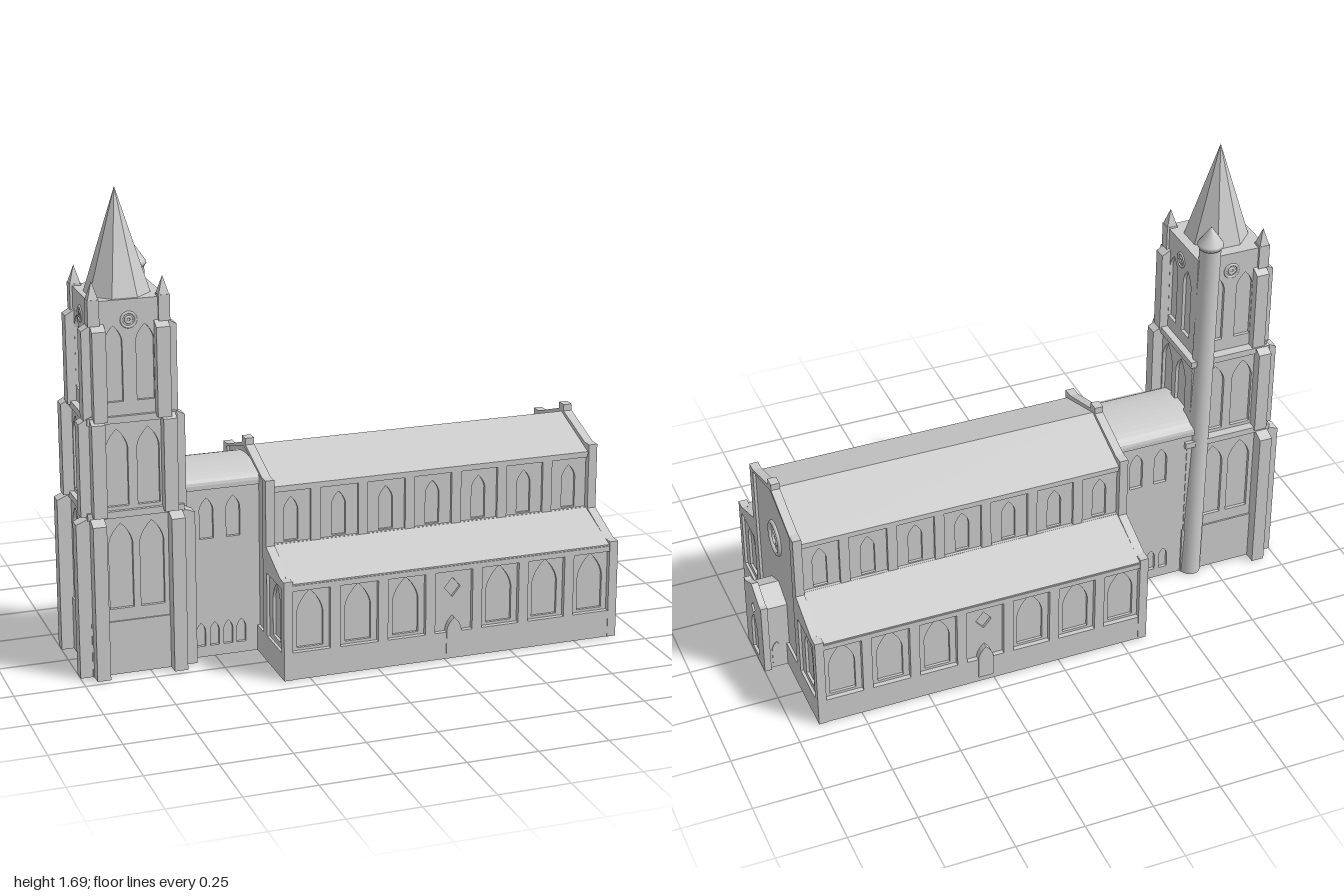
import * as THREE from 'three';

const stone = new THREE.MeshStandardMaterial({ color: 0xcccccc });

function add(parent, name, geo, x = 0, y = 0, z = 0) {
  const m = new THREE.Mesh(geo, stone);
  m.name = name;
  m.position.set(x, y, z);
  parent.add(m);
  return m;
}
const box = (w, h, d) => new THREE.BoxGeometry(w, h, d);
const extrude = (shape, depth) => new THREE.ExtrudeGeometry(shape, { depth, bevelEnabled: false, curveSegments: 5 });
const poly = (pts) => new THREE.Shape(pts.map(([x, y]) => new THREE.Vector2(x, y)));
const rect = (x, y, w, h) => poly([[x - w / 2, y], [x + w / 2, y], [x + w / 2, y + h], [x - w / 2, y + h]]);
const diamond = (x, y, r) => poly([[x, y - r * 1.2], [x + r, y], [x, y + r * 1.2], [x - r, y]]);

// Pointed arch standing on y, centred on x
function lancet(x, y, w, h) {
  const s = new THREE.Shape(), a = w / 2, spring = y + h - w * 0.85;
  s.moveTo(x - a, y);
  s.lineTo(x + a, y);
  s.lineTo(x + a, spring);
  s.quadraticCurveTo(x + a * 0.85, spring + w * 0.45, x, y + h);
  s.quadraticCurveTo(x - a * 0.85, spring + w * 0.45, x - a, spring);
  return s;
}
// Flat wall layer facing +z with openings
function layer(shape, depth, holes = []) {
  shape.holes.push(...holes);
  return extrude(shape, depth);
}
// Symmetric cross-section given by its right half, from base to ridge
const mirrored = (half) => poly([...half, ...half.filter(([x]) => x > 0).reverse().map(([x, y]) => [-x, y])]);
// Cross-section in z,y drawn out along x
const section = (half, x0, x1, holes) => layer(mirrored(half), x1 - x0, holes).rotateY(Math.PI / 2).translate(x0, 0, 0);
// Group turned so that its +z faces outward
function face(parent, name, angle, x = 0, z = 0) {
  const g = new THREE.Group();
  g.name = name;
  g.rotation.y = angle;
  g.position.set(x, 0, z);
  parent.add(g);
  return g;
}

function buildNave(root) {
  const nave = face(root, 'nave', 0, 0.2825, 0), L = 1.255, H = L / 2;
  const bays = [-3, -2, -1, 0, 1, 2, 3].map((i) => i * 0.176);
  add(nave, 'aisleCore', section([[0.41, 0], [0.41, 0.34], [0.21, 0.41]], -H + 0.02, H - 0.02));
  add(nave, 'clerestoryCore', box(L - 0.04, 0.63, 0.42), 0, 0.315, 0);
  add(nave, 'aisleRoof', section([[0.435, 0.335], [0.435, 0.35], [0.23, 0.425], [0.21, 0.335]], -H + 0.02, H - 0.02));
  add(nave, 'mainRoof', section([[0.235, 0.62], [0.235, 0.637], [0, 0.722]], -H + 0.02, H - 0.02));

  // Long sides: lancets set into panels between pilasters
  for (const angle of [0, Math.PI]) {
    const side = face(nave, 'longSide', angle);
    add(side, 'aisleWindowWall', layer(rect(0, 0, L, 0.34), 0.01,
      bays.map((x) => x === 0 ? diamond(0, 0.26, 0.03) : lancet(x, 0.11, 0.095, 0.21))), 0, 0, 0.41);
    add(side, 'aislePilasters', layer(rect(0, 0, L, 0.345), 0.018,
      bays.map((x) => rect(x, 0.1, 0.14, 0.225))), 0, 0, 0.42);
    add(side, 'sideDoor', extrude(lancet(0, 0.02, 0.055, 0.135), 0.022), 0, 0, 0.42);
    add(side, 'clerestoryWindowWall', layer(rect(0, 0.34, L, 0.285), 0.01,
      bays.map((x) => lancet(x, 0.43, 0.052, 0.16))), 0, 0, 0.21);
    add(side, 'clerestoryPilasters', layer(rect(0, 0.34, L, 0.285), 0.012,
      bays.map((x) => rect(x, 0.425, 0.14, 0.19))), 0, 0, 0.22);
  }

  // Gable ends with raised copings
  const outline = [[0.44, 0], [0.44, 0.362], [0.4, 0.362], [0.245, 0.425], [0.245, 0.665], [0.205, 0.665],
    [0.02, 0.728], [0.02, 0.752], [0, 0.752]];
  for (const angle of [0, Math.PI]) {
    const end = face(nave, 'gableEnd', angle);
    const both = (f) => [f(-1), f(1)];
    add(end, 'gableSlab', section(outline, H - 0.032, H - 0.02));
    add(end, 'endWindowWall', section(outline, H - 0.02, H - 0.01, both((s) => lancet(s * 0.33, 0.115, 0.082, 0.205))));
    add(end, 'endPilasters', section(outline, H - 0.01, H, [
      ...both((s) => rect(s * 0.33, 0.095, 0.16, 0.235)),
      poly([[-0.207, 0.095], [0.207, 0.095], [0.207, 0.655], [0, 0.718], [-0.207, 0.655]])]));
    for (const [r, t] of [[0.058, 0.009], [0.024, 0.006]])
      add(end, 'roseWindowRing', new THREE.TorusGeometry(r, t, 8, 32), H - 0.008, 0.505, 0).rotation.y = Math.PI / 2;
  }
}

function buildPorch(root) {
  const porch = face(root, 'porch', 0);
  const front = [[0.1, 0], [0.1, 0.285], [0.08, 0.285], [0, 0.328]];
  add(porch, 'porchBody', section([[0.088, 0], [0.088, 0.27], [0, 0.312]], 0.89, 0.98));
  add(porch, 'porchGable', section(front, 0.975, 0.99));
  add(porch, 'porchFront', section(front, 0.99, 1, [lancet(0, 0.02, 0.068, 0.17), diamond(0, 0.22, 0.02)]));
  for (const s of [-1, 1])
    add(porch, 'porchSideWindow', extrude(lancet(0, 0.02, 0.034, 0.095), 0.006), 0.948, 0, s * 0.088 - 0.003);
}

function buildLink(root) {
  const link = face(root, 'link', 0, -0.495, 0), L = 0.33;
  add(link, 'linkCore', box(L, 0.63, 0.25), 0, 0.315, 0);
  const arc = [0, 1, 2, 3, 4, 5, 6, 7, 8].map((i) => i * Math.PI / 16);
  add(link, 'barrelRoof', section([[0.143, 0.622], ...arc.map((a) => [0.143 * Math.cos(a), 0.638 + 0.05 * Math.sin(a)])
    .map(([x, y]) => [x < 1e-6 ? 0 : x, y])], -L / 2, L / 2));
  for (const angle of [0, Math.PI]) {
    const side = face(link, 'linkSide', angle), m = angle ? -1 : 1;
    add(side, 'linkWall', layer(rect(0, 0, L, 0.625), 0.012, [
      ...[-0.032, 0.065].map((x) => lancet(m * x, 0.44, 0.05, 0.15)),
      ...[-0.057, -0.007, 0.043, 0.091].map((x) => lancet(m * x, 0.04, 0.033, 0.088))]), 0, 0, 0.125);
  }
}

function buildTower(root) {
  const tower = face(root, 'tower', 0);
  const stages = [
    { x: -0.79, z: 0.02, half: 0.16, y0: 0, y1: 0.585, out: 0.21, top: 0.59, win: [0.24, 0.31, 0.085] },
    { x: -0.795, z: 0.03, half: 0.147, y0: 0.585, y1: 0.92, out: 0.186, top: 0.945, win: [0.61, 0.275, 0.078] },
    { x: -0.797, z: 0.042, half: 0.133, y0: 0.92, y1: 1.333, out: 0.165, top: 1.265, win: [0.98, 0.265, 0.062] },
  ];
  stages.forEach(({ x, z, half, y0, y1, out, top, win }, n) => {
    const h = y1 - y0, core = 2 * half - 0.024;
    add(tower, 'towerCore', box(core, h, core), x, y0 + h / 2, z);
    if (n < 2) add(tower, 'stringCourse', box(2 * half + 0.02, 0.024, 2 * half + 0.02), x, y1, z);
    for (let k = 0; k < 4; k++) {
      const side = face(tower, 'towerFace', k * Math.PI / 2, x, z);
      add(side, 'towerWall', layer(rect(0, y0, 2 * half - 0.001, h), 0.012,
        [-1, 1].map((s) => lancet(s * 0.055, win[0], win[2], win[1]))), 0, 0, half - 0.012);
      // Stepped corner buttresses; the stair turret replaces one corner
      for (const s of [-1, 1]) {
        if ((k === 1 && s === 1) || (k === 2 && s === -1)) continue;
        const g = extrude(poly([[half - 0.02, y0], [out, y0], [out, top - 0.03], [half - 0.02, top]]), 0.048);
        add(side, 'buttress', g.rotateY(-Math.PI / 2).translate(0.024, 0, 0), s * (half - 0.022));
      }
      // Round openings near the top
      if (n === 2) for (const [r, t] of [[0.025, 0.005], [0.01, 0.005]])
        add(side, 'roundOpening', new THREE.TorusGeometry(r, t, 8, 24), 0, 1.262, half);
    }
  });
  const low = stages[0], high = stages[2];
  add(tower, 'plinth', box(0.332, 0.195, 0.332), low.x, 0.0975, low.z);
  add(tower, 'towerDoor', extrude(lancet(0, 0.02, 0.06, 0.13), 0.006), low.x - 0.166, 0, low.z).rotation.y = -Math.PI / 2;

  // Spire and corner pinnacles
  const cone = (r, h, n, turn) => {
    const g = new THREE.ConeGeometry(r, h, n).rotateY(turn).toNonIndexed();
    g.computeVertexNormals();
    return g;
  };
  add(tower, 'spire', cone(0.115, 0.362, 8, Math.PI / 8), -0.805, 1.512, 0.058);
  for (const [sx, sz] of [[-1, 1], [1, 1], [-1, -1]]) {
    const px = high.x + sx * 0.122, pz = high.z + sz * 0.122;
    add(tower, 'pinnacleBase', box(0.04, 0.09, 0.04), px, 1.295, pz);
    add(tower, 'pinnacle', cone(0.027, 0.065, 4, Math.PI / 4), px, 1.37, pz);
  }

  // Leaning stair turret
  const foot = new THREE.Vector3(-0.665, 0, -0.138), head = new THREE.Vector3(-0.708, 1.385, -0.092);
  const shaft = new THREE.TubeGeometry(new THREE.LineCurve3(foot, head), 1, 0.039, 20);
  add(tower, 'stairTurret', shaft);
  const cap = [[0, 0], [0.04, 0], [0.047, 0.012], [0.045, 0.02], [0, 0.085]].map(([x, y]) => new THREE.Vector2(x, y));
  add(tower, 'turretCap', new THREE.LatheGeometry(cap, 20), head.x, 1.378, head.z);
}

export function createModel() {
  const root = new THREE.Group();
  root.name = 'church';
  buildNave(root);
  buildPorch(root);
  buildLink(root);
  buildTower(root);
  return root;
}
